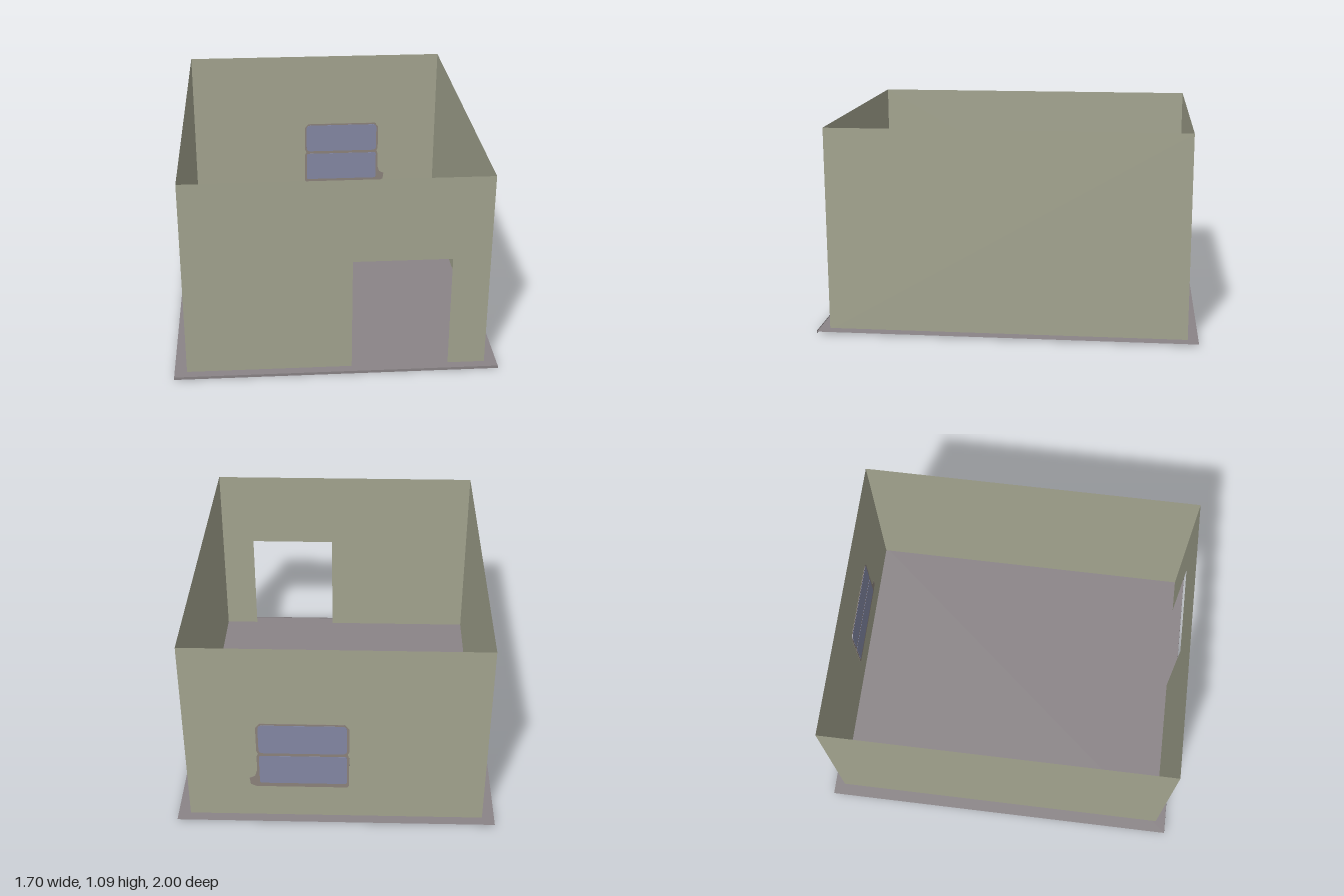
import * as THREE from 'three';

const W = 0.785, D = 0.945, H = 1.09; // wall half width, half depth, height

function material(name, color, side = THREE.FrontSide) {
  const m = new THREE.MeshStandardMaterial({ color, side });
  m.name = name;
  return m;
}

function polygon(points) {
  return new THREE.Shape(points.map(([x, y]) => new THREE.Vector2(x, y)));
}

// Thin rounded plate in the xy plane
function roundedRect(x0, y0, x1, y1, r) {
  const s = new THREE.Shape();
  s.moveTo(x0 + r, y0);
  s.lineTo(x1 - r, y0);
  s.quadraticCurveTo(x1, y0, x1, y0 + r);
  s.lineTo(x1, y1 - r);
  s.quadraticCurveTo(x1, y1, x1 - r, y1);
  s.lineTo(x0 + r, y1);
  s.quadraticCurveTo(x0, y1, x0, y1 - r);
  s.lineTo(x0, y0 + r);
  s.quadraticCurveTo(x0, y0, x0 + r, y0);
  return s;
}

export function createModel() {
  const model = new THREE.Group();
  const wallPaint = material('wall paint', 0xa3a48f, THREE.DoubleSide);
  const floorGrey = material('floor grey', 0x8a8487, THREE.DoubleSide);
  const glassBlue = material('glass blue', 0x8488a4);
  const frameBrown = material('frame brown', 0x8c837c);

  function add(name, geometry, mat, parent = model) {
    const mesh = new THREE.Mesh(geometry, mat);
    mesh.name = name;
    parent.add(mesh);
    return mesh;
  }

  // Floor sheet with a narrow lip along the front
  const floor = add('floor', new THREE.PlaneGeometry(1.7, 2), floorGrey);
  floor.rotation.x = -Math.PI / 2;
  floor.position.y = 0.01;
  add('frontLip', new THREE.PlaneGeometry(1.7, 0.015), floorGrey).position.set(0, 0.0075, 1);

  // Front wall with an open doorway
  const front = polygon([
    [-W, 0], [0.08, 0], [0.08, 0.635], [0.59, 0.635], [0.59, 0], [W, 0], [W, H], [-W, H],
  ]);
  add('frontWall', new THREE.ShapeGeometry(front), wallPaint).position.z = D;

  // Plain back and side walls
  const back = add('backWall', new THREE.PlaneGeometry(2 * W, H), wallPaint);
  back.position.set(0, H / 2, -D);
  back.rotation.y = Math.PI;
  for (const [name, side] of [['leftWall', 1], ['rightWall', -1]]) {
    const wall = add(name, new THREE.PlaneGeometry(2 * D, H), wallPaint);
    wall.position.set(side * W, H / 2, 0);
    wall.rotation.y = side * Math.PI / 2;
  }

  // Window, seen from both sides of the back wall
  const win = new THREE.Group();
  win.name = 'window';
  win.position.z = -D;
  model.add(win);

  function plate(name, shape, depth, mat) {
    const g = new THREE.ExtrudeGeometry(shape, { depth, bevelEnabled: false, curveSegments: 5 });
    add(name, g.translate(0, 0, -depth / 2), mat, win);
  }

  // Frame outline, pinched at the middle and flared at one end of the sill
  const frame = polygon([
    [-0.06, 0.21], [0.42, 0.21], [0.45, 0.225], [0.455, 0.265], [0.425, 0.28], [0.413, 0.32],
    [0.413, 0.41], [0.405, 0.43], [0.413, 0.45], [0.413, 0.6], [0.39, 0.628],
    [-0.045, 0.628], [-0.07, 0.6], [-0.07, 0.45], [-0.06, 0.43], [-0.07, 0.41], [-0.07, 0.225],
  ]);
  plate('windowFrame', frame, 0.005, frameBrown);
  plate('upperPane', roundedRect(-0.058, 0.436, 0.401, 0.618, 0.025), 0.008, glassBlue);
  plate('lowerPane', roundedRect(-0.058, 0.235, 0.401, 0.418, 0.012), 0.008, glassBlue);

  return model;
}
